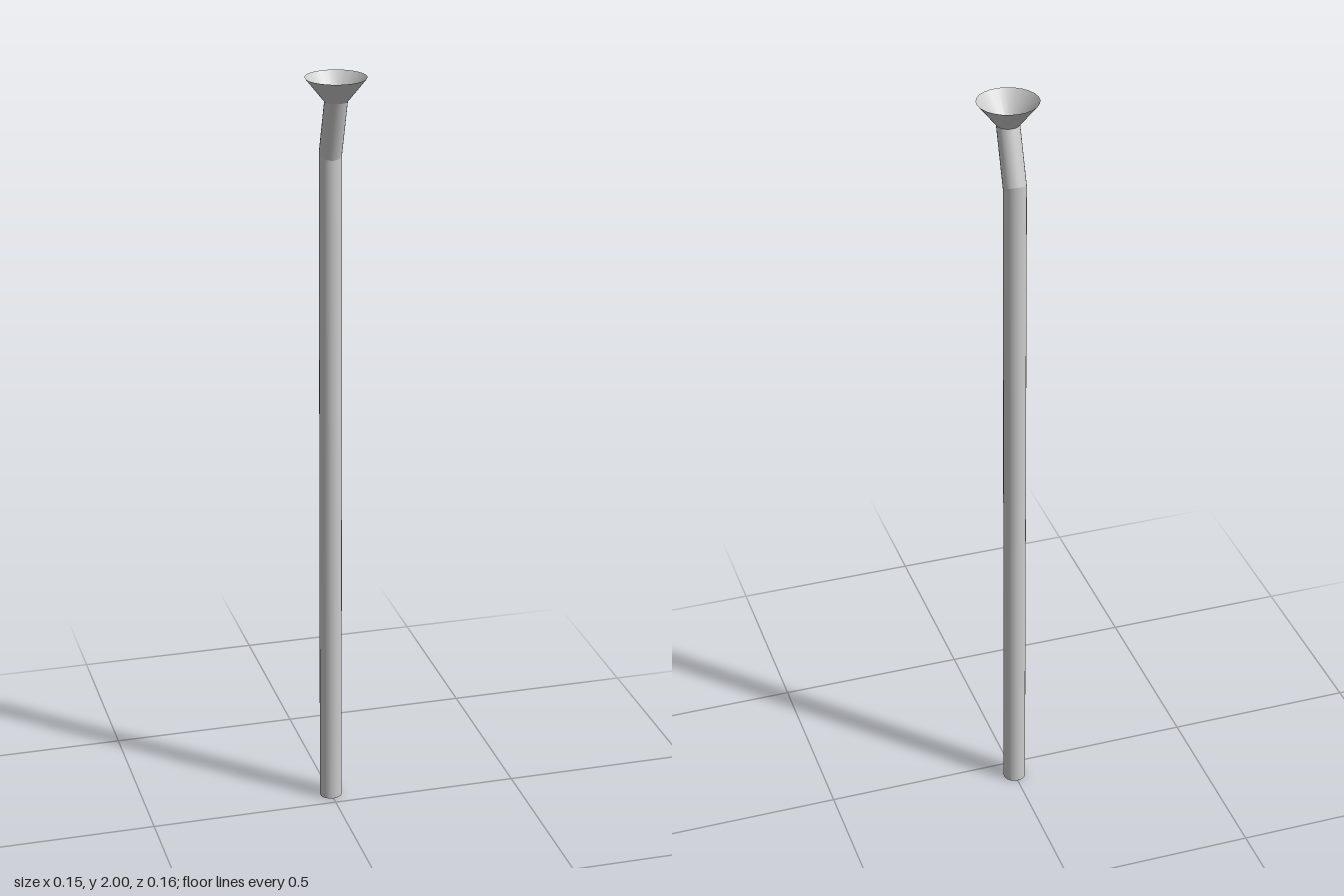
import * as THREE from 'three';

const SIDES = 24;

// Open tube wall between two rings, each given as { y, z, r, tilt }
function section(name, lower, upper, material) {
  const geometry = new THREE.CylinderGeometry(1, 1, 1, SIDES, 1, true);
  const pos = geometry.attributes.position;
  for (let i = 0; i < pos.count; i++) {
    const ring = pos.getY(i) > 0 ? upper : lower;
    const tilt = ring.tilt ?? 0;
    const across = pos.getZ(i) * ring.r;
    pos.setXYZ(
      i,
      pos.getX(i) * ring.r,
      ring.y - across * Math.sin(tilt),
      ring.z + across * Math.cos(tilt)
    );
  }
  // Keep the smooth radial normals, leaned to follow the section's slope
  const normal = geometry.attributes.normal;
  const v = new THREE.Vector3();
  const h = upper.y - lower.y;
  for (let i = 0; i < normal.count; i++) {
    v.fromBufferAttribute(normal, i);
    const outward = upper.r - lower.r + v.z * (upper.z - lower.z);
    v.y = -outward / h;
    v.normalize();
    normal.setXYZ(i, v.x, v.y, v.z);
  }
  const mesh = new THREE.Mesh(geometry, material);
  mesh.name = name;
  return mesh;
}

export function createModel() {
  const material = new THREE.MeshStandardMaterial({ color: 0xcccccc, side: THREE.DoubleSide });
  const foot = { y: 0, z: -0.051, r: 0.0295 };
  const bend = { y: 1.796, z: -0.049, r: 0.029, tilt: 0.45 };
  const neck = { y: 1.94, z: 0.003, r: 0.029 };
  const rim = { y: 2, z: 0.003, r: 0.077 };

  const model = new THREE.Group();
  model.name = 'funnelPipe';
  model.add(
    section('straightPipe', foot, bend, material),
    section('slantedNeck', bend, neck, material),
    section('funnel', neck, rim, material)
  );
  return model;
}
